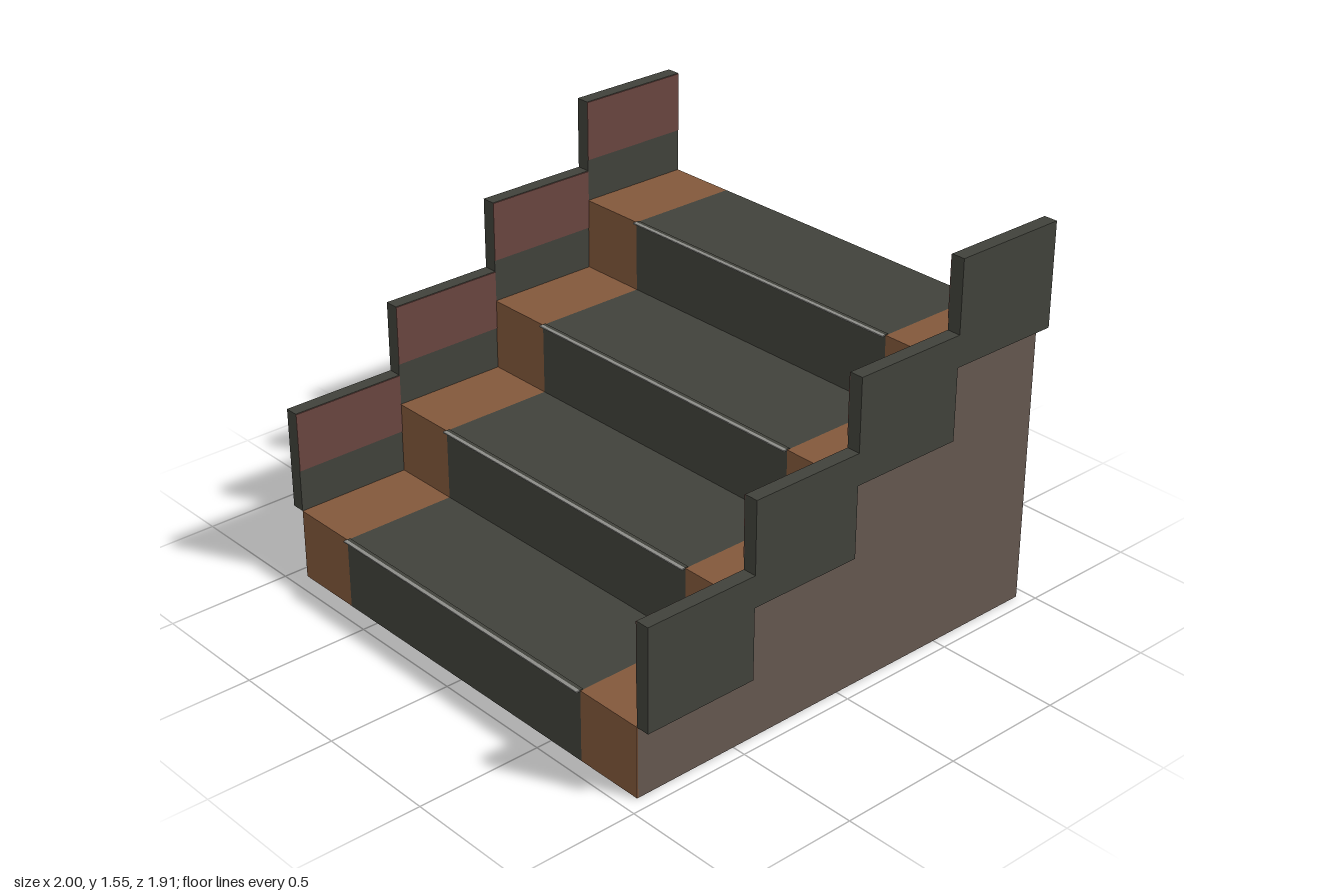
import * as THREE from 'three';

const mat = (name, color) => {
  const m = new THREE.MeshStandardMaterial({ color });
  m.name = name;
  return m;
};

export function createModel() {
  const group = new THREE.Group();
  const stone = mat('brownBody', 0x65574f);
  const dark = mat('darkCarpet', 0x41423b);
  const wood = mat('wood', 0x82583b);
  const red = mat('redPanel', 0x69453f);
  const grey = mat('greyNosing', 0x8c8c88);

  const steps = 4, rise = 0.285, front = 0.937, back = -0.955;
  const run = (front - back) / steps;
  const bodyX = 0.945, carpetX = 0.66, skin = 0.005;

  // Box given by its limits on each axis
  const box = (name, material, x0, x1, y0, y1, z0, z1) => {
    const geo = new THREE.BoxGeometry(x1 - x0, y1 - y0, z1 - z0);
    const mesh = new THREE.Mesh(geo, material);
    mesh.name = name;
    mesh.position.set((x0 + x1) / 2, (y0 + y1) / 2, (z0 + z1) / 2);
    group.add(mesh);
  };

  // Solid stepped body, a side profile drawn in z and y
  const profile = new THREE.Shape();
  profile.moveTo(back, 0);
  profile.lineTo(front - skin, 0);
  for (let i = 0; i < steps; i++) {
    const y = (i + 1) * rise - skin;
    profile.lineTo(front - i * run - skin, y);
    profile.lineTo(i === steps - 1 ? back : front - (i + 1) * run - skin, y);
  }
  const bodyGeo = new THREE.ExtrudeGeometry(profile, { depth: 2 * bodyX, bevelEnabled: false });
  bodyGeo.rotateY(-Math.PI / 2).translate(bodyX, 0, 0);
  const body = new THREE.Mesh(bodyGeo, stone);
  body.name = 'body';
  group.add(body);

  for (let i = 0; i < steps; i++) {
    const y0 = i * rise, y1 = y0 + rise;
    const z1 = front - i * run, z0 = z1 - run;
    const treadBack = i === steps - 1 ? z0 : z0 - skin;

    // Tread and riser coverings: carpet in the middle, wood at both ends
    const cover = (name, material, x0, x1) => {
      box(name + 'Tread', material, x0, x1, y1 - skin, y1, treadBack, z1);
      box(name + 'Riser', material, x0, x1, y0, y1 - skin, z1 - skin, z1);
    };
    cover('carpet', dark, -carpetX, carpetX);
    cover('leftWood', wood, carpetX, bodyX);
    cover('rightWood', wood, -bodyX, -carpetX);

    // Thin metal edge with a dark strip on top
    box('nosing', grey, -carpetX, carpetX, y1 - 0.002, y1 + 0.003, z1 + 0.003, z1 + 0.018);
    box('nosingStrip', dark, -carpetX, carpetX, y1 - 0.002, y1 + 0.003, z1 - 0.012, z1 + 0.003);

    // Side walls with a red panel on the inner face
    for (const side of [-1, 1]) {
      const span = (a, b) => (side > 0 ? [a, b] : [-b, -a]);
      const label = side > 0 ? 'left' : 'right';
      box(label + 'Wall', dark, ...span(bodyX, 1), y1, y1 + 0.41, z0, z1);
      box(label + 'WallPanel', red, ...span(bodyX - 0.003, bodyX), y1 + 0.17, y1 + 0.408, z0, z1);
    }
  }
  return group;
}
